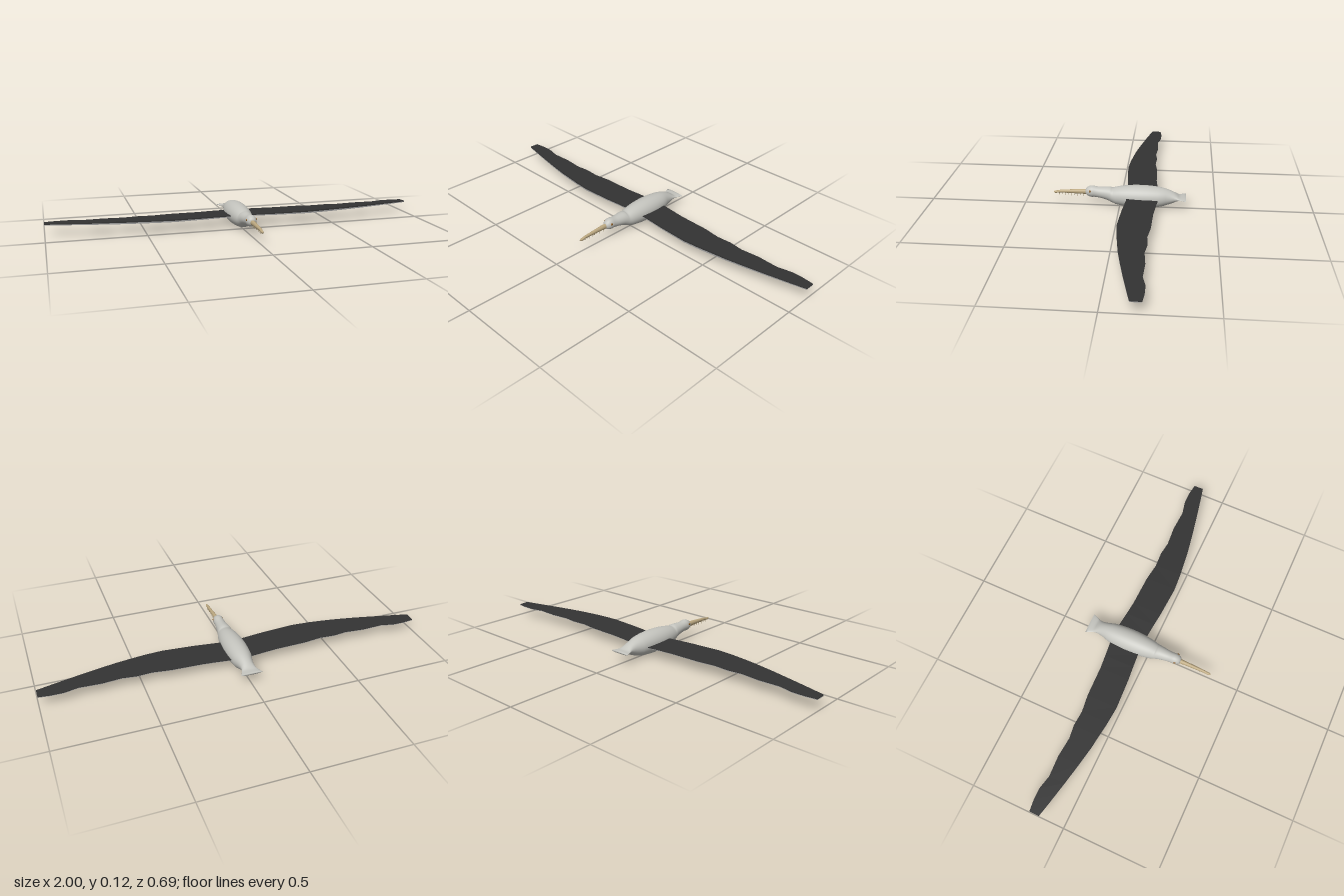
import * as THREE from 'three';

const mat = (name, color, side = THREE.FrontSide) => {
  const m = new THREE.MeshStandardMaterial({ color, side });
  m.name = name;
  return m;
};

// Closed loft along z through elliptical rings [z, yTop, yBottom, halfWidth]
function loft(rings, n) {
  const pos = [], idx = [];
  for (const [z, top, bottom, w] of rings) {
    for (let i = 0; i < n; i++) {
      const a = (i / n) * Math.PI * 2;
      pos.push(w * Math.cos(a), (top + bottom) / 2 + ((top - bottom) / 2) * Math.sin(a), z);
    }
  }
  for (let r = 0; r < rings.length - 1; r++) {
    for (let i = 0; i < n; i++) {
      const a = r * n + i, b = r * n + ((i + 1) % n);
      idx.push(a, b, a + n, b, b + n, a + n);
    }
  }
  // End caps
  const last = (rings.length - 1) * n;
  for (let i = 1; i < n - 1; i++) {
    idx.push(0, i + 1, i, last, last + i, last + i + 1);
  }
  const g = new THREE.BufferGeometry();
  g.setAttribute('position', new THREE.Float32BufferAttribute(pos, 3));
  g.setIndex(idx);
  g.computeVertexNormals();
  return g;
}

// Fanned tail, blending into the body
const TAIL = [
  [-0.345, 0.0665, 0.0565, 0.055], [-0.335, 0.067, 0.056, 0.051], [-0.32, 0.067, 0.056, 0.044],
  [-0.312, 0.069, 0.054, 0.041], [-0.305, 0.073, 0.05, 0.038], [-0.295, 0.081, 0.044, 0.036],
  [-0.28, 0.09, 0.034, 0.035], [-0.26, 0.099, 0.025, 0.038], [-0.24, 0.106, 0.018, 0.043],
];
// Neck and rounded head
const NECK = [
  [0.03, 0.103, 0.021, 0.043], [0.037, 0.102, 0.024, 0.041], [0.042, 0.104, 0.026, 0.04],
  [0.05, 0.107, 0.03, 0.038], [0.065, 0.1068, 0.037, 0.035], [0.085, 0.1058, 0.043, 0.032],
  [0.105, 0.105, 0.047, 0.029], [0.12, 0.106, 0.049, 0.027], [0.133, 0.109, 0.05, 0.027],
  [0.145, 0.11, 0.049, 0.0275], [0.155, 0.1085, 0.051, 0.0265], [0.165, 0.104, 0.055, 0.023],
  [0.173, 0.098, 0.06, 0.018], [0.178, 0.09, 0.067, 0.011],
];
function bodyRings() {
  const trunk = [];
  for (let z = -0.22; z < 0.025; z += 0.02) {
    const r = 0.059 * Math.sqrt(1 - ((z + 0.11) / 0.205) ** 2);
    trunk.push([z, 0.061 + r, 0.061 - r, r]);
  }
  return [...TAIL, ...trunk, ...NECK];
}

// Wing stations: [x, leading z, trailing z, top y at front, top y at back]
const WING = [
  [0, -0.02, -0.2, 0.066, 0.062], [0.06, -0.04, -0.2, 0.067, 0.062],
  [0.13, -0.034, -0.192, 0.069, 0.063], [0.2, -0.027, -0.185, 0.07, 0.063],
  [0.36, -0.018, -0.18, 0.072, 0.064], [0.45, -0.025, -0.168, 0.073, 0.064],
  [0.53, -0.035, -0.173, 0.073, 0.064], [0.6, -0.044, -0.164, 0.072, 0.064],
  [0.7, -0.062, -0.173, 0.071, 0.064], [0.81, -0.084, -0.168, 0.069, 0.064],
  [0.88, -0.099, -0.184, 0.068, 0.064], [0.94, -0.112, -0.184, 0.067, 0.064],
  [1, -0.126, -0.177, 0.066, 0.064],
];
const WING_BOTTOM = 0.058;

// Dark upper layer over a paler lower layer, meeting halfway up the edges
function wingGeometry(side) {
  const upper = [], lower = [];
  const quad = (out, a, b, c, d) => {
    const p = side > 0 ? [a, b, c, a, c, d] : [a, c, b, a, d, c];
    p.forEach(([x, y, z]) => out.push(x * side, y, z));
  };
  const corners = ([x, lead, trail, yf, yb]) => [
    [x, yf, lead], [x, yb, trail], [x, (yb + WING_BOTTOM) / 2, trail],
    [x, WING_BOTTOM, trail], [x, WING_BOTTOM, lead], [x, (yf + WING_BOTTOM) / 2, lead],
  ];
  for (let i = 0; i < WING.length - 1; i++) {
    const p = corners(WING[i]), q = corners(WING[i + 1]);
    for (let k = 0; k < 6; k++) {
      const j = (k + 1) % 6;
      quad(k >= 2 && k <= 4 ? lower : upper, p[k], p[j], q[j], q[k]);
    }
  }
  const tip = corners(WING[WING.length - 1]);
  quad(upper, tip[0], tip[5], tip[2], tip[1]);
  quad(lower, tip[5], tip[4], tip[3], tip[2]);
  const g = new THREE.BufferGeometry();
  g.setAttribute('position', new THREE.Float32BufferAttribute([...upper, ...lower], 3));
  g.addGroup(0, upper.length / 3, 0);
  g.addGroup(upper.length / 3, lower.length / 3, 1);
  g.computeVertexNormals();
  return g;
}

export function createModel() {
  const root = new THREE.Group();
  root.name = 'toothedSeabird';
  const plumage = mat('palePlumage', 0xc4c4be);
  const wingTop = mat('darkWing', 0x333333, THREE.DoubleSide);
  const wingUnder = mat('wingUnderside', 0x9c9c9c, THREE.DoubleSide);
  const horn = mat('beakHorn', 0xbca880);
  const ivory = mat('toothIvory', 0xb8a888);
  const iris = mat('eyeAmber', 0x8a5a20);

  const add = (name, geometry, material, x = 0, y = 0, z = 0) => {
    const m = new THREE.Mesh(geometry, material);
    m.name = name;
    m.position.set(x, y, z);
    root.add(m);
    return m;
  };

  // Tail, trunk, neck and head in one smooth skin
  add('body', loft(bodyRings(), 36), plumage);

  // Long beak with a swollen, drooping tip
  add('beak', loft([
    [0.155, 0.091, 0.063, 0.012], [0.178, 0.09, 0.063, 0.012], [0.22, 0.088, 0.064, 0.01],
    [0.27, 0.084, 0.065, 0.008], [0.312, 0.081, 0.066, 0.007], [0.322, 0.077, 0.065, 0.007],
    [0.335, 0.076, 0.062, 0.007], [0.342, 0.075, 0.063, 0.005], [0.346, 0.072, 0.067, 0.002],
  ], 16), horn);

  for (const side of [1, -1]) {
    // Row of alternating long and short teeth
    for (let i = 0; i < 9; i++) {
      const length = i % 2 ? 0.012 : 0.017;
      const tooth = new THREE.ConeGeometry(i % 2 ? 0.0018 : 0.0024, length, 8);
      tooth.rotateX(Math.PI);
      add('tooth', tooth, ivory, side * 0.0045, 0.068 - length / 2, 0.191 + i * 0.0158);
    }

    add('eye', new THREE.SphereGeometry(0.006, 16, 12), iris, side * 0.0235, 0.087, 0.153);

    add(side > 0 ? 'leftWing' : 'rightWing', wingGeometry(side), [wingTop, wingUnder]);
  }
  return root;
}
